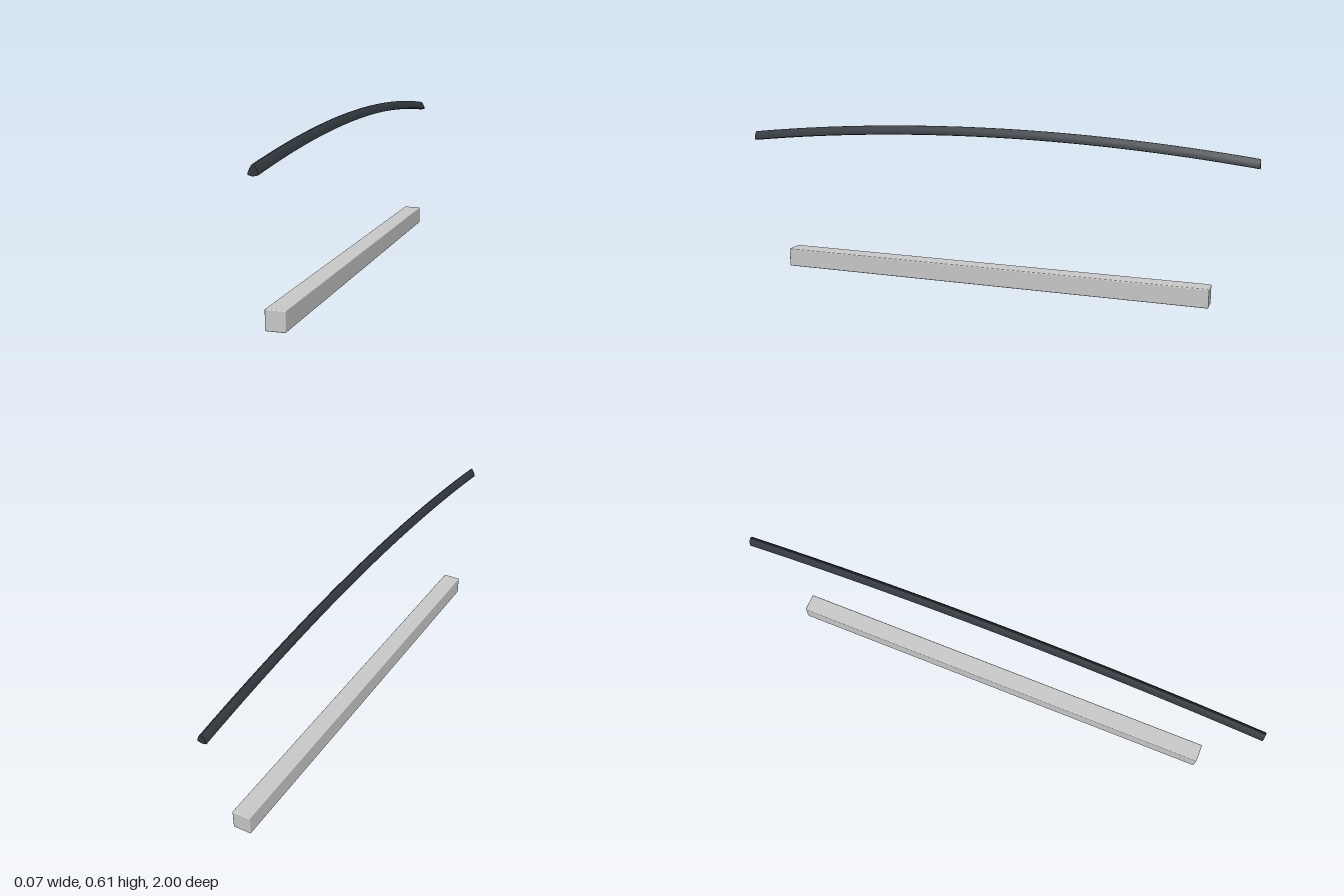
import * as THREE from 'three';
import { RoundedBoxGeometry } from 'three/addons/geometries/RoundedBoxGeometry.js';
import { toCreasedNormals } from 'three/addons/utils/BufferGeometryUtils.js';

const LENGTH = 2;
const SAG = 0.061; // drop of the rail from its middle to its ends

// Pointed-arch cross-section with a shallow V underneath
function railSection() {
  const half = [[0.0165, 0.004], [0.0155, 0.012], [0.0115, 0.022], [0.006, 0.031], [0.002, 0.0355]];
  const left = half.map(([x, y]) => [-x, y]).reverse();
  return new THREE.Shape([[0, 0], ...half, ...left].map(([x, y]) => new THREE.Vector2(x, y)));
}

// Straight extrusion bowed upward along its length
function bowedRail() {
  const geometry = new THREE.ExtrudeGeometry(railSection(), { depth: LENGTH, steps: 32, bevelEnabled: false });
  geometry.translate(0, 0.572, -LENGTH / 2);
  const p = geometry.attributes.position;
  for (let i = 0; i < p.count; i++) {
    const z = p.getZ(i);
    p.setY(i, p.getY(i) - SAG * z * z);
  }
  return toCreasedNormals(geometry, 0.6);
}

export function createModel() {
  const model = new THREE.Group();
  model.name = 'bowedRailAndBeam';

  // Straight lower beam with softened edges
  const beam = new THREE.Mesh(
    new RoundedBoxGeometry(0.07, 0.072, 1.7, 2, 0.004),
    new THREE.MeshStandardMaterial({ color: 0xcccccc })
  );
  beam.name = 'lowerBeam';
  beam.position.y = 0.036;
  model.add(beam);

  // Dark curved rail above it
  const rail = new THREE.Mesh(bowedRail(), new THREE.MeshStandardMaterial({ color: 0x343a40 }));
  rail.name = 'curvedRail';
  model.add(rail);

  return model;
}
